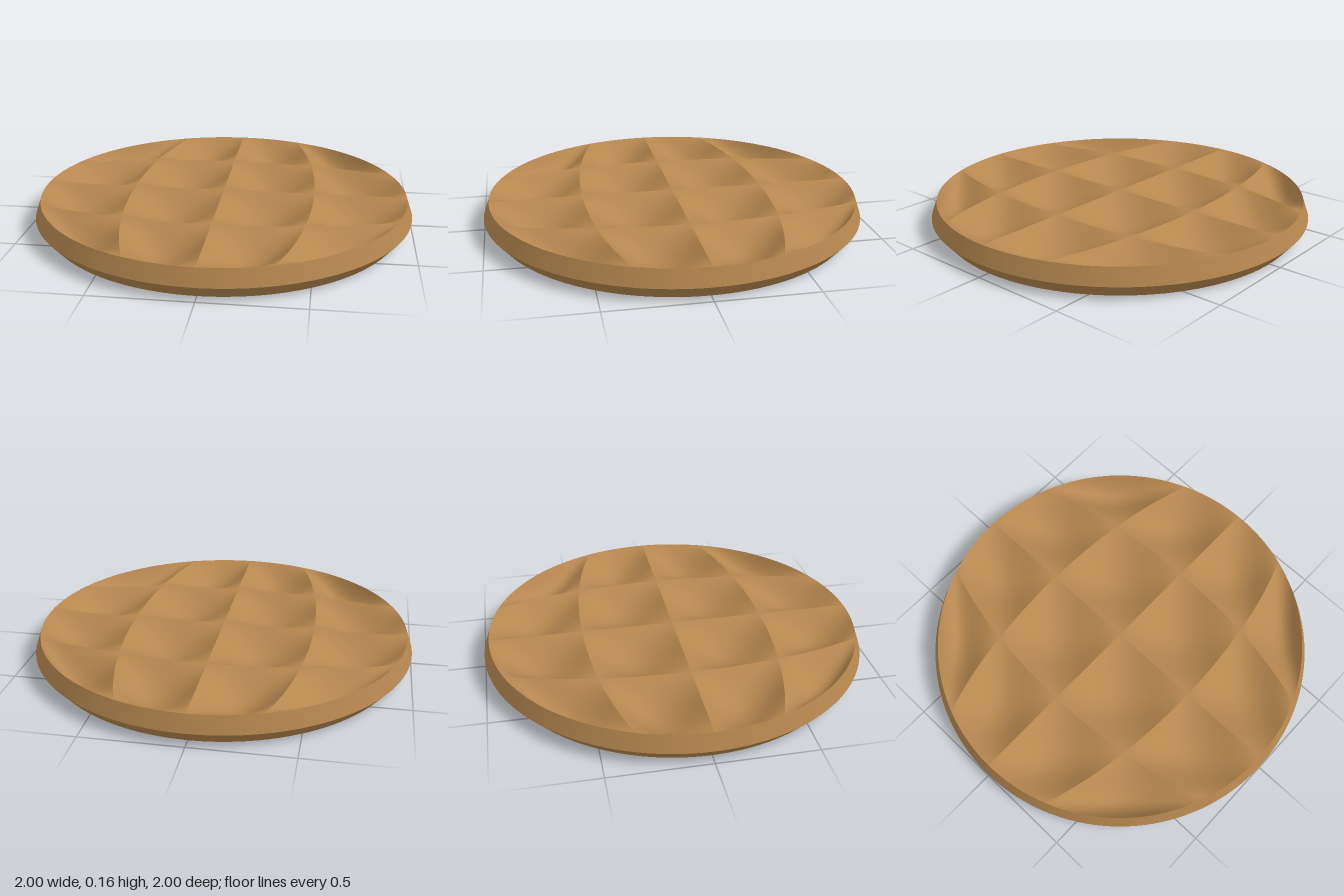
import * as THREE from 'three';
import { mergeGeometries } from 'three/addons/utils/BufferGeometryUtils.js';

const RIM_Y = 0.155, RIM_R = 0.97, WAIST_Y = 0.07;
const CELLS = 4, DEPTH = 0.1, SEG = 16;

// One dimple: a square cell of the unit square, hollowed and rounded into the disc.
// Each cell keeps its own normals so the ridges between cells stay sharp.
function dimple(col, row) {
  const size = 2 / CELLS;
  const geo = new THREE.PlaneGeometry(size, size, SEG, SEG).rotateX(-Math.PI / 2);
  geo.translate(-1 + (col + 0.5) * size, 0, -1 + (row + 0.5) * size);
  const p = geo.attributes.position;
  for (let i = 0; i < p.count; i++) {
    const u = p.getX(i), v = p.getZ(i);
    const hollow = Math.abs(Math.sin(Math.PI * u / size) * Math.sin(Math.PI * v / size));
    p.setXYZ(i,
      RIM_R * u * Math.sqrt(1 - v * v / 2),
      RIM_Y - DEPTH * hollow,
      RIM_R * v * Math.sqrt(1 - u * u / 2));
  }
  geo.computeVertexNormals();
  return geo;
}

function dimpledTop() {
  const cells = [];
  for (let row = 0; row < CELLS; row++)
    for (let col = 0; col < CELLS; col++) cells.push(dimple(col, row));
  return mergeGeometries(cells);
}

export function createModel() {
  const group = new THREE.Group();
  group.name = 'dimpledDisc';
  const crust = new THREE.MeshStandardMaterial({ color: 0xb5864f });
  crust.name = 'goldenBrown';

  const add = (name, geo) => {
    const mesh = new THREE.Mesh(geo, crust);
    mesh.name = name;
    group.add(mesh);
  };
  // Separate bands keep the waist edge sharp
  const band = (r0, y0, r1, y1) => new THREE.LatheGeometry(
    [new THREE.Vector2(r0, y0), new THREE.Vector2(r1, y1)], 128);

  add('dimpledTop', dimpledTop());
  add('upperRim', band(1, WAIST_Y, RIM_R, RIM_Y));
  add('lowerRim', band(0.94, 0, 1, WAIST_Y));
  add('base', new THREE.CircleGeometry(0.94, 128).rotateX(Math.PI / 2));
  return group;
}
